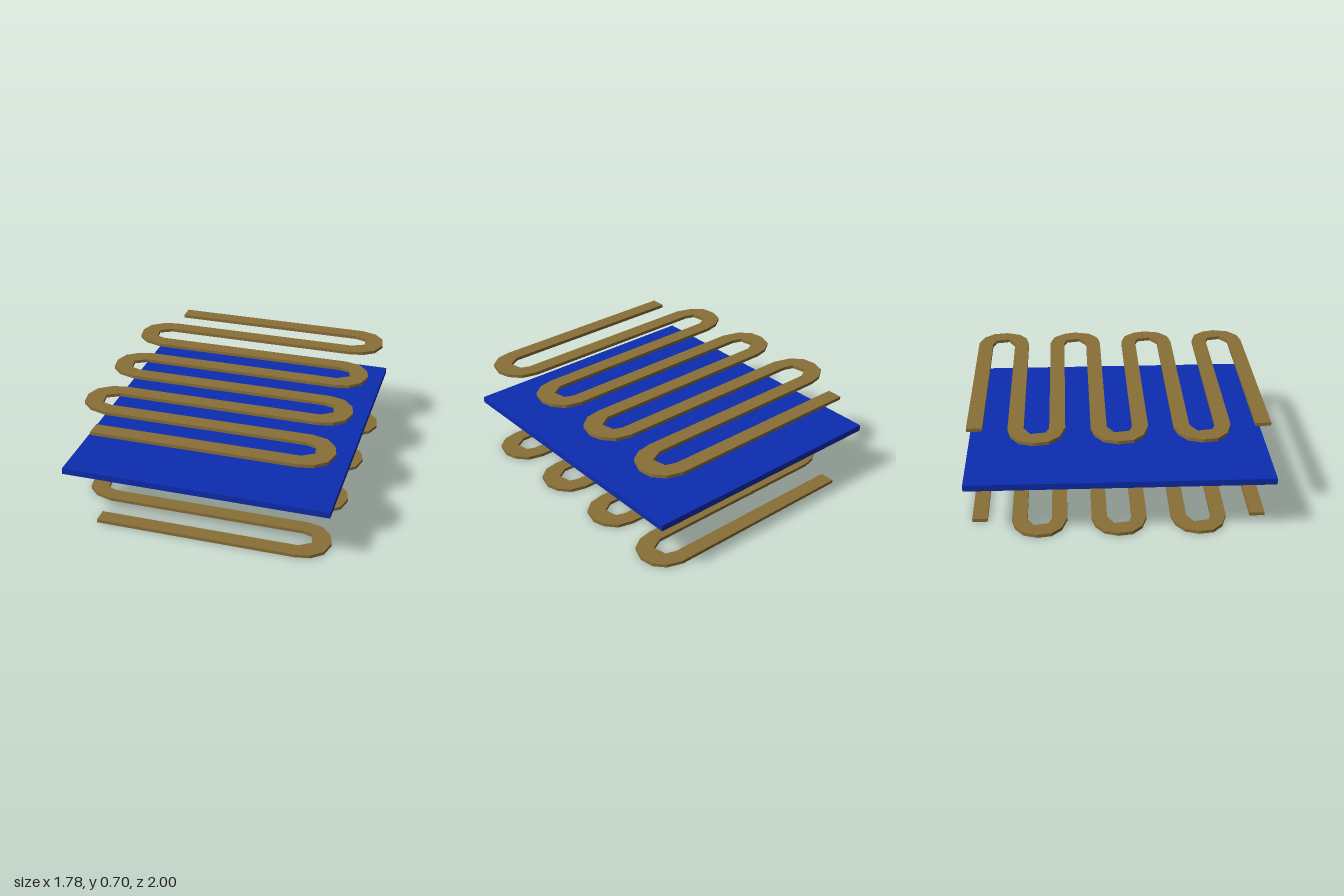
import * as THREE from 'three';

const PITCH = 0.2636, BARS = 8, HALF_WIDTH = 0.051, THICKNESS = 0.022, END_X = -0.68;

// Faceted bend edges as [x, z offset from bend middle], in the order they are walked
const FIRST_BEND = {
  outer: [[0.70, -0.184], [0.80, -0.15], [0.862, -0.08], [0.878, 0.015], [0.84, 0.115], [0.765, 0.165], [0.665, 0.183]],
  inner: [[0.665, -0.081], [0.735, -0.058], [0.756, 0.035], [0.665, 0.081]],
};
const RIGHT_BEND = {
  outer: [[0.675, -0.183], [0.78, -0.155], [0.845, -0.08], [0.867, 0], [0.84, 0.105], [0.765, 0.165], [0.665, 0.183]],
  inner: [[0.665, -0.081], [0.725, -0.06], [0.745, 0.03], [0.665, 0.081]],
};
const LEFT_BEND = {
  outer: [[-0.687, -0.183], [-0.777, -0.162], [-0.857, -0.105], [-0.888, -0.015], [-0.873, 0.08], [-0.804, 0.147], [-0.687, 0.183]],
  inner: [[-0.687, -0.081], [-0.767, -0.037], [-0.75, 0.06], [-0.687, 0.081]],
};

// Flat serpentine ribbon: walk one edge forwards and the other back
function serpentineGeometry() {
  const firstZ = -PITCH * (BARS - 1) / 2;
  const edgeA = [[END_X, firstZ - HALF_WIDTH]];
  const edgeB = [[END_X, firstZ + HALF_WIDTH]];
  for (let i = 0; i < BARS - 1; i++) {
    const middle = firstZ + (i + 0.5) * PITCH;
    const isRight = i % 2 === 0;
    const bend = i === 0 ? FIRST_BEND : isRight ? RIGHT_BEND : LEFT_BEND;
    const place = ([x, z]) => [x, middle + z];
    edgeA.push(...(isRight ? bend.outer : bend.inner).map(place));
    edgeB.push(...(isRight ? bend.inner : bend.outer).map(place));
  }
  edgeA.push([END_X, -firstZ + HALF_WIDTH]);
  edgeB.push([END_X, -firstZ - HALF_WIDTH]);
  const outline = [...edgeA, ...edgeB.reverse()].map(([x, z]) => new THREE.Vector2(x, z));
  const geometry = new THREE.ExtrudeGeometry(new THREE.Shape(outline), { depth: THICKNESS, bevelEnabled: false });
  return geometry.rotateX(Math.PI / 2).translate(0, THICKNESS, 0);
}

export function createModel() {
  const model = new THREE.Group();
  const blue = new THREE.MeshStandardMaterial({ color: 0x0c2cb0 });
  const bronze = new THREE.MeshStandardMaterial({ color: 0x8a7038 });

  // Flat plate between the two ribbons
  const plate = new THREE.Mesh(new THREE.BoxGeometry(1.776, 0.042, 2), blue);
  plate.name = 'plate';
  plate.position.y = 0.381;
  model.add(plate);

  // Identical serpentine ribbons below and above
  const ribbon = serpentineGeometry();
  for (const [name, y] of [['lowerSerpentine', 0], ['upperSerpentine', 0.675]]) {
    const mesh = new THREE.Mesh(ribbon, bronze);
    mesh.name = name;
    mesh.position.y = y;
    model.add(mesh);
  }
  return model;
}
